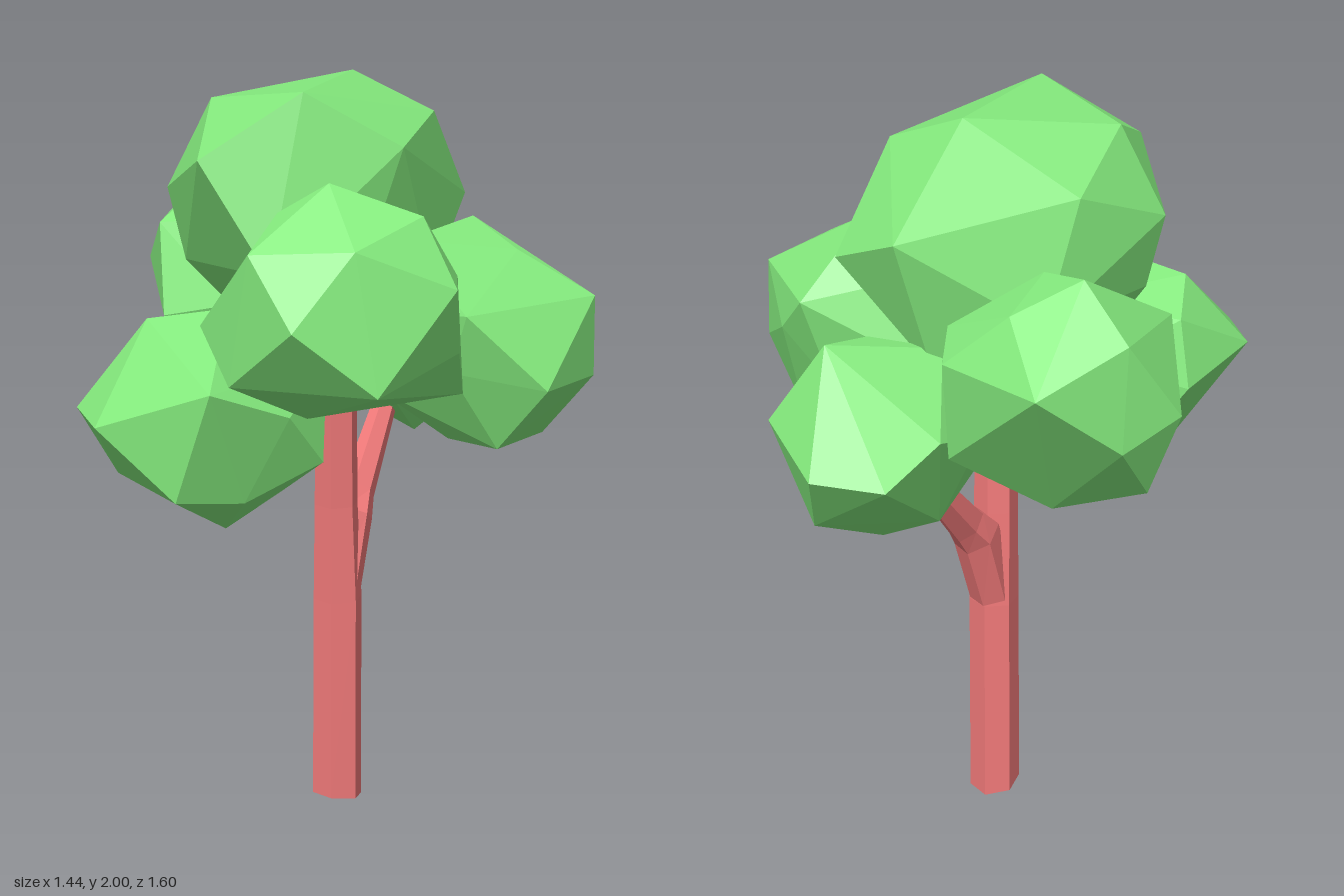
import * as THREE from 'three';
import { ConvexGeometry } from 'three/addons/geometries/ConvexGeometry.js';

const leaf = new THREE.MeshStandardMaterial({ color: 0x84ea7d, flatShading: true });
const bark = new THREE.MeshStandardMaterial({ color: 0xf27a7a, flatShading: true });

// Faceted clump: evenly spread points stretched to fill a box, with the
// points nearest to the given main corners moved onto them, wrapped in a hull
function clump(min, max, corners) {
  const n = 20;
  const lo = new THREE.Vector3(...min);
  const size = new THREE.Vector3(...max).sub(lo);
  let spread = [];
  for (let i = 0; i < n; i++) {
    const y = 1 - (2 * i + 1) / n;
    const r = Math.sqrt(1 - y * y);
    const a = i * 2.39996;
    spread.push(new THREE.Vector3(r * Math.cos(a), y, r * Math.sin(a)).multiplyScalar(0.5).addScalar(0.5));
  }
  const points = corners.map((c) => {
    const p = new THREE.Vector3(...c);
    const unit = p.clone().sub(lo).divide(size);
    spread.sort((a, b) => a.distanceTo(unit) - b.distanceTo(unit));
    spread = spread.slice(1);
    return p;
  });
  spread.forEach((p) => points.push(p.multiply(size).add(lo)));
  return new THREE.Mesh(new ConvexGeometry(points), leaf);
}

// Six-sided limb through rings [x, y, z, radius, slope of the ring along z]
function limb(rings) {
  const sides = 6, pos = [], index = [];
  for (const [x, y, z, r, slope] of rings) {
    for (let k = 0; k < sides; k++) {
      const a = ((k + 0.25) / sides) * Math.PI * 2;
      const dz = r * Math.cos(a);
      pos.push(x + r * Math.sin(a), y + dz * slope, z + dz);
    }
  }
  for (let i = 0; i < rings.length - 1; i++) {
    for (let k = 0; k < sides; k++) {
      const a = i * sides + k, b = i * sides + ((k + 1) % sides);
      index.push(a, b, b + sides, a, b + sides, a + sides);
    }
  }
  // End caps
  const top = (rings.length - 1) * sides;
  for (let k = 1; k < sides - 1; k++) {
    index.push(0, k + 1, k, top, top + k, top + k + 1);
  }
  const g = new THREE.BufferGeometry();
  g.setAttribute('position', new THREE.Float32BufferAttribute(pos, 3));
  g.setIndex(index);
  const flat = g.toNonIndexed();
  flat.computeVertexNormals();
  return new THREE.Mesh(flat, bark);
}

export function createModel() {
  const tree = new THREE.Group();
  const add = (name, mesh) => {
    mesh.name = name;
    tree.add(mesh);
  };

  // Trunk with a slightly slanted foot
  add('trunk', limb([
    [0.05, 0.014, -0.025, 0.07, 0.2],
    [0.05, 0.6, -0.025, 0.068, 0],
    [0.05, 0.87, -0.015, 0.06, 0],
    [0.055, 1.1, -0.005, 0.058, 0],
    [0.06, 1.35, 0.01, 0.054, 0],
  ]));

  // Branch leaning to the back, thick where it leaves the trunk
  add('branch', limb([
    [0.05, 0.62, -0.035, 0.06, 0.3],
    [0.05, 0.82, -0.1, 0.06, 0.6],
    [0.045, 0.87, -0.15, 0.045, 0.8],
    [0.03, 1.07, -0.335, 0.032, 0.8],
    [0.02, 1.15, -0.41, 0.03, 0.8],
  ]));

  // Foliage clumps
  add('topFoliage', clump([-0.34, 1.25, -0.48], [0.3, 1.98, 0.4], [
    [-0.25, 1.95, 0.11], [-0.02, 2, -0.23], [0.1, 2, 0.25], [0.3, 1.86, 0.1], [0.23, 1.91, -0.21],
    [-0.1, 1.84, 0.42], [-0.03, 1.75, -0.51], [-0.35, 1.72, 0.17], [0.21, 1.66, -0.45], [-0.31, 1.53, 0.15],
  ]));
  add('frontLeftFoliage', clump([0.02, 1.25, 0.09], [0.61, 1.8, 0.77], [
    [0.31, 1.83, 0.5], [0.38, 1.54, 0.8], [0.62, 1.6, 0.45], [0.52, 1.76, 0.43], [0.22, 1.69, 0.72],
    [0.24, 1.25, 0.48], [0.53, 1.29, 0.22], [0.16, 1.37, 0.71], [0.04, 1.49, 0.64], [0.05, 1.64, 0.4],
    [0.53, 1.38, 0.67], [0.32, 1.69, 0.17], [0.51, 1.58, 0.22],
  ]));
  add('frontLowerFoliage', clump([-0.33, 0.95, 0.08], [0.24, 1.49, 0.75], [
    [-0.18, 1.24, 0.77], [-0.33, 1.24, 0.63], [-0.34, 1.2, 0.32], [0, 0.93, 0.47], [-0.22, 0.98, 0.15],
    [0.12, 1.35, 0.73], [0.02, 1.07, 0.73], [-0.21, 1.45, 0.49], [0.24, 1.12, 0.4], [0, 1.49, 0.45],
  ]));
  add('leftFoliage', clump([0.12, 1.1, -0.34], [0.7, 1.66, 0.24], [
    [0.52, 1.59, -0.11], [0.71, 1.48, -0.17], [0.72, 1.3, 0.14], [0.42, 1.47, -0.36], [0.55, 1.49, 0.25],
    [0.56, 1.09, -0.21], [0.58, 1.13, 0.12], [0.71, 1.27, -0.18], [0.25, 1.15, -0.1], [0.33, 1.64, 0.15],
    [0.38, 1.66, -0.14],
  ]));
  add('backFoliage', clump([-0.2, 0.98, -0.76], [0.24, 1.5, -0.19], [
    [0.09, 1.51, -0.63], [0, 1.23, -0.8], [0.23, 1.3, -0.69], [0.24, 1.35, -0.42], [0.05, 0.96, -0.48],
    [-0.17, 1.22, -0.72], [-0.2, 1.3, -0.55], [0.08, 1.06, -0.7], [0.1, 1.1, -0.26],
  ]));
  add('rightFoliage', clump([-0.7, 1.13, -0.58], [-0.05, 1.71, -0.01], [
    [-0.72, 1.42, -0.3], [-0.48, 1.72, -0.36], [-0.52, 1.5, -0.6], [-0.2, 1.5, -0.54], [-0.54, 1.57, -0.08],
    [-0.48, 1.33, 0], [-0.63, 1.2, -0.3], [-0.4, 1.12, -0.37], [-0.33, 1.13, -0.1], [-0.32, 1.69, -0.3],
    [-0.2, 1.25, -0.52], [-0.65, 1.61, -0.42],
  ]));
  return tree;
}
